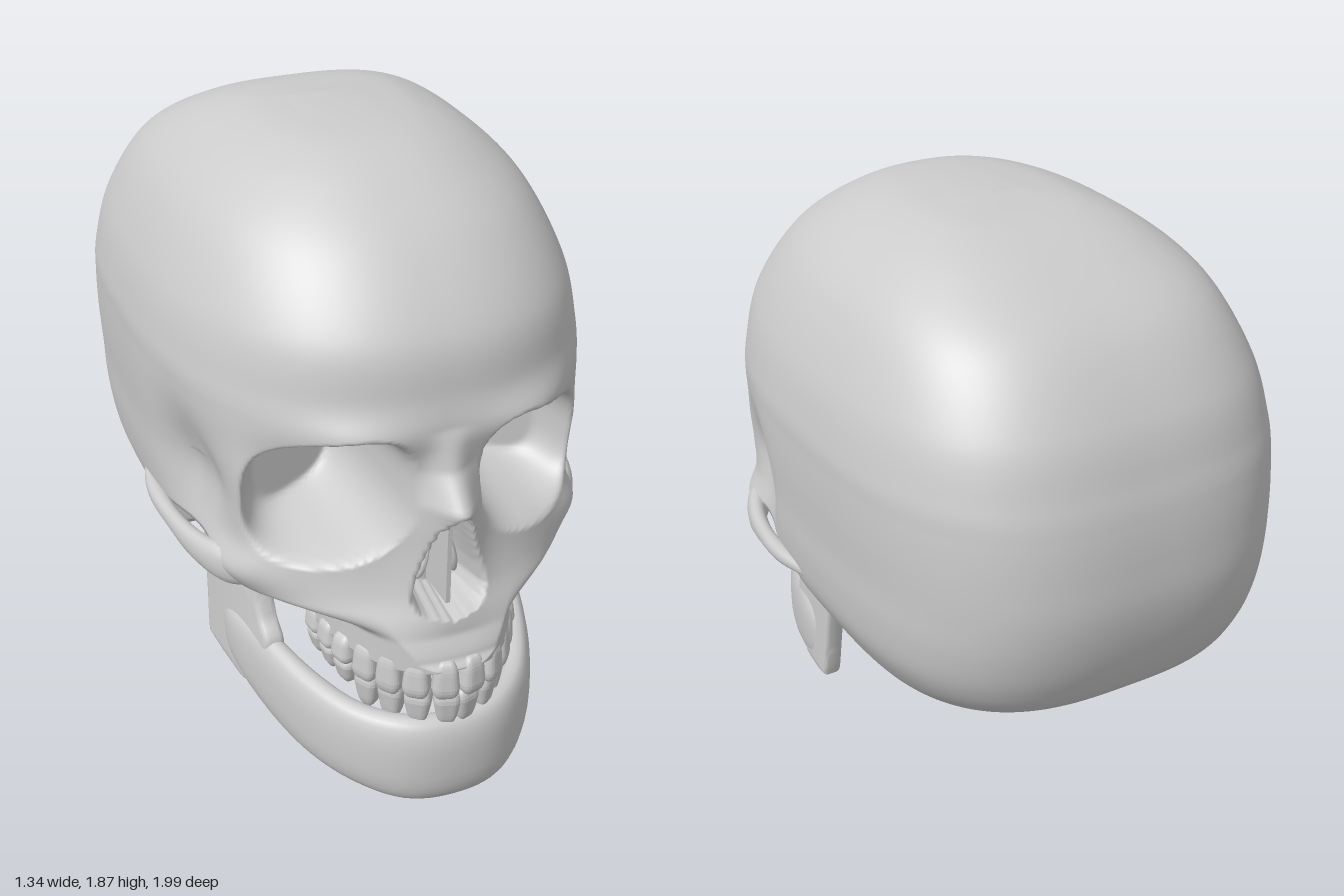
import * as THREE from 'three';
import { mergeVertices, toCreasedNormals } from 'three/addons/utils/BufferGeometryUtils.js';
import { RoundedBoxGeometry } from 'three/addons/geometries/RoundedBoxGeometry.js';

const bone = new THREE.MeshStandardMaterial({ color: 0xcccccc, side: THREE.DoubleSide });
const { lerp, smoothstep, clamp } = THREE.MathUtils;
const bell = (v, mid, width) => Math.exp(-(((v - mid) / width) ** 2));

function part(name, geometry) {
  const mesh = new THREE.Mesh(geometry, bone);
  mesh.name = name;
  return mesh;
}

// Linear lookup in a short table of [y, value], highest y first
function lookup(table, y) {
  if (y >= table[0][0]) return table[0][1];
  for (let i = 1; i < table.length; i++) {
    const [y0, v0] = table[i - 1], [y1, v1] = table[i];
    if (y >= y1) return lerp(v1, v0, (y - y1) / (y0 - y1));
  }
  return table[table.length - 1][1];
}

// Smooth closed skin through rings: at(t, angle) gives each point
function loft(rows, cols, at) {
  const pos = [], index = [];
  for (let i = 0; i <= rows; i++)
    for (let j = 0; j < cols; j++) pos.push(...at(i / rows, (j / cols) * Math.PI * 2));
  for (let i = 0; i < rows; i++)
    for (let j = 0; j < cols; j++) {
      const k = (j + 1) % cols, a = i * cols + j, b = i * cols + k;
      index.push(a, a + cols, b, b, a + cols, b + cols);
    }
  const geo = new THREE.BufferGeometry();
  geo.setAttribute('position', new THREE.Float32BufferAttribute(pos, 3));
  geo.setIndex(index);
  geo.computeVertexNormals();
  return geo;
}

const spline = (pts) => new THREE.CatmullRomCurve3(pts.map((p) => new THREE.Vector3(...p)), false, 'catmullrom', 0.5);

// Sweep of upright rounded sections; stations are [x, y, z, halfThickness, halfHeight]
function sweep(stations, rows, cols, power) {
  const path = spline(stations.map((s) => s.slice(0, 3)));
  const size = spline(stations.map((s) => [s[3], s[4], 0]));
  const pw = (v) => Math.sign(v) * Math.abs(v) ** (2 / power);
  return loft(rows, cols, (t, a) => {
    const p = path.getPoint(t), r = size.getPoint(t), d = path.getTangent(t);
    const l = Math.hypot(d.x, d.z), s = pw(Math.sin(a)) * Math.max(r.x, 0);
    return [p.x + (d.z / l) * s, p.y + pw(Math.cos(a)) * Math.max(r.y, 0), p.z - (d.x / l) * s];
  });
}

// Skull levels, top to bottom: [y, front z, back z, half width]
const LEVELS = [
  [1.872, -0.1, -0.1, 0], [1.866, 0.13, -0.16, 0.12], [1.845, 0.31, -0.34, 0.26], [1.78, 0.465, -0.53, 0.4],
  [1.66, 0.635, -0.74, 0.53], [1.47, 0.79, -0.89, 0.625], [1.3, 0.83, -0.955, 0.665],
  [1.2, 0.845, -0.98, 0.67], [1.08, 0.83, -0.995, 0.668], [0.95, 0.82, -1, 0.66],
  [0.82, 0.82, -0.98, 0.655], [0.7, 0.85, -0.94, 0.635], [0.6, 0.91, -0.88, 0.585],
  [0.52, 0.95, -0.76, 0.53], [0.48, 0.93, -0.64, 0.46], [0.465, 0.5, -0.4, 0.25], [0.46, -0.1, -0.1, 0],
];
const NOSE_RISE = [[1.22, 0], [1.1, 0.05], [1.0, 0.14], [0.95, 0.12], [0.8, 0.08], [0.64, 0.03], [0.58, 0]];
const NOSE_HOLE = [[1.0, 0], [0.93, 0.042], [0.85, 0.065], [0.75, 0.095], [0.69, 0.105], [0.65, 0.085], [0.63, 0]];

// Shapes the face and underside out of the plain braincase
function sculpt(x, y, z) {
  if (z < -0.12) return [x, y, z];
  const side = Math.sign(x);
  let ax = Math.abs(x);
  // Cheek swelling
  ax += 0.05 * bell(z, 0.56, 0.15) * bell(y, 0.71, 0.07) * smoothstep(ax, 0.3, 0.5);
  // Upper jaw: narrow the block below the cheekbones to the dental arch
  const cheekY = lerp(0.74, 0.65, smoothstep(z, 0.4, 0.54));
  const narrow = (1 - smoothstep(y, cheekY - 0.08, cheekY)) * smoothstep(z, 0.02, 0.13);
  const arch = z > 0.45
    ? 0.305 * Math.max(0, 1 - ((z - 0.45) / 0.53) ** 2.1) ** 0.5
    : 0.2 + 0.105 * smoothstep(z, 0.2, 0.45);
  ax = lerp(ax, Math.min(ax, arch), narrow);
  // Temple hollows
  ax -= 0.07 * bell(z, 0.33, 0.13) * bell(y, 0.92, 0.17) * smoothstep(ax, 0.2, 0.4);
  // Raised skull base behind the palate
  const lift = smoothstep(z, -0.12, 0.14) * (1 - smoothstep(z, 0.38, 0.48));
  y = Math.max(y, 0.46 + 0.145 * lift);
  if (z > 0.3) {
    // Brow ridges, outer orbit rims and nasal bones
    z += 0.03 * bell(ax, 0.27, 0.15) * bell(y, 1.21, 0.06);
    z += 0.05 * bell(ax, 0.53, 0.05) * bell(y, 0.95, 0.16);
    z += lookup(NOSE_RISE, y) * bell(ax, 0, clamp(0.06 + (1.1 - y) * 0.17, 0.05, 0.14));
    // Eye sockets
    const u = ax - 0.317, v = y - 0.995 + 0.2 * u;
    const d = (Math.abs(u) / 0.212) ** 2.6 + (Math.abs(v) / 0.208) ** 2.6;
    z = lerp(z, Math.min(z, 0.34 + 0.34 * (ax - 0.1)), 1 - smoothstep(d, 0.3, 1.12));
    // Nasal opening
    const half = lookup(NOSE_HOLE, y);
    if (half > 0.004) z = lerp(z, 0.72, 1 - smoothstep(ax / half, 0.72, 1.12));
  }
  return [side * ax, y, z];
}

function craniumGeometry() {
  const profile = spline(LEVELS.map(([y, f, b]) => [f, y, b]));
  const width = spline(LEVELS.map((l) => [l[3], 0, 0]));
  const mid = -0.1, tiny = 0.0005;
  return loft(192, 260, (t, a) => {
    const p = profile.getPoint(t), w = Math.max(width.getPoint(t).x, tiny);
    const angle = a - 0.5 * Math.sin(a); // finer towards the face
    const s = Math.sin(angle), c = Math.cos(angle);
    const n = c > 0 ? 2.4 : 3;
    const reach = Math.max(c > 0 ? p.x - mid : mid - p.z, tiny);
    const r = ((Math.abs(s) / w) ** n + (Math.abs(c) / reach) ** n) ** (-1 / n);
    return sculpt(r * s, p.y, mid + r * c);
  });
}

// Upright plate of the jaw with its two upper prongs
function ramusGeometry(side) {
  const outline = [
    [0.14, 0.185], [0.27, 0.15], [0.4, 0.15], [0.49, 0.33], [0.44, 0.42], [0.41, 0.5], [0.4, 0.62], [0.385, 0.69],
    [0.33, 0.67], [0.24, 0.64], [0.17, 0.65], [0.13, 0.7], [0.07, 0.7], [0.085, 0.55], [0.115, 0.35], [0.13, 0.23],
  ].map((p) => new THREE.Vector2(...p));
  const shape = new THREE.Shape();
  shape.moveTo(outline[0].x, outline[0].y);
  shape.splineThru([...outline.slice(1), outline[0]]);
  const geo = new THREE.ExtrudeGeometry(shape, {
    depth: 0.03, bevelEnabled: true, bevelSize: 0.018, bevelOffset: -0.018, bevelThickness: 0.018, bevelSegments: 3, curveSegments: 5,
  });
  geo.translate(0, 0, -0.015).rotateY(-Math.PI / 2);
  const p = geo.attributes.position;
  for (let i = 0; i < p.count; i++)
    p.setX(i, p.getX(i) + side * (0.505 - 0.2 * p.getZ(i) - 0.06 * (p.getY(i) - 0.2)));
  geo.deleteAttribute('normal');
  geo.deleteAttribute('uv');
  return toCreasedNormals(mergeVertices(geo, 1e-4), 0.9);
}

// One tooth; root = 1 tapers upwards, root = -1 downwards
function toothGeometry(w, h, d, root) {
  const geo = new RoundedBoxGeometry(1, 1, 1, 3, 0.32);
  const p = geo.attributes.position;
  for (let i = 0; i < p.count; i++) {
    const k = 1 - (root > 0 ? 0.3 : 0.55) * Math.max(0, p.getY(i) * root + 0.2);
    p.setXYZ(i, p.getX(i) * w * k, p.getY(i) * h, p.getZ(i) * d * k);
  }
  geo.computeVertexNormals();
  return geo;
}

function teethRow(name, root) {
  const row = new THREE.Group();
  row.name = name;
  const inset = root > 0 ? 0 : 0.012;
  const arch = spline([[0, 0, 0.958], [0.11, 0, 0.915], [0.195, 0, 0.82], [0.25, 0, 0.7], [0.275, 0, 0.5]]);
  for (let i = 0; i < 7; i++) {
    const t = (i + 0.5) / 7, p = arch.getPointAt(t), d = arch.getTangentAt(t);
    const molar = i > 3;
    const h = (molar ? 0.1 : 0.13) + (i === 2 ? 0.015 : 0);
    const y = root > 0 ? (molar ? 0.46 : 0.453) : (molar ? 0.372 : 0.342);
    for (const side of [1, -1]) {
      const tooth = part(molar ? 'molar' : 'frontTooth', toothGeometry(0.082, h, molar ? 0.09 : 0.07, root));
      tooth.position.set(side * (p.x - inset), y, p.z - inset);
      tooth.rotation.y = side * Math.atan2(-d.z, d.x);
      row.add(tooth);
    }
  }
  return row;
}

export function createModel() {
  const skull = new THREE.Group();
  skull.name = 'skull';
  skull.add(part('cranium', craniumGeometry()));

  // Nasal septum and side folds
  const septum = part('nasalSeptum', new THREE.BoxGeometry(0.014, 0.27, 0.14));
  septum.position.set(0, 0.785, 0.79);
  skull.add(septum);

  for (const side of [1, -1]) {
    const fold = part('nasalFold', new THREE.SphereGeometry(1, 16, 12));
    fold.scale.set(0.018, 0.08, 0.05);
    fold.position.set(side * 0.045, 0.76, 0.75);
    fold.rotation.z = side * 0.2;
    skull.add(fold);

    // Cheekbone running back to the ear
    skull.add(part('cheekArch', sweep([
      [side * 0.43, 0.7, 0.62, 0, 0.02], [side * 0.535, 0.695, 0.52, 0.035, 0.06],
      [side * 0.6, 0.7, 0.4, 0.03, 0.048], [side * 0.635, 0.715, 0.25, 0.025, 0.032],
      [side * 0.645, 0.73, 0.08, 0.025, 0.026], [side * 0.62, 0.735, -0.12, 0, 0.01],
    ], 36, 16, 2.2)));
    skull.add(part('jawRamus', ramusGeometry(side)));
  }

  // Horseshoe body of the lower jaw
  const half = [
    [0.14, 0.155, 0.9, 0.055, 0.15], [0.26, 0.165, 0.79, 0.052, 0.142], [0.345, 0.185, 0.63, 0.052, 0.143],
    [0.41, 0.225, 0.44, 0.046, 0.135], [0.452, 0.265, 0.28, 0.036, 0.1], [0.47, 0.3, 0.17, 0, 0.02],
  ];
  const mirrored = half.map(([x, ...rest]) => [-x, ...rest]).reverse();
  skull.add(part('jawBody', sweep([...mirrored, [0, 0.152, 0.928, 0.058, 0.15], ...half], 72, 28, 2.5)));

  skull.add(teethRow('upperTeeth', 1), teethRow('lowerTeeth', -1));
  return skull;
}
